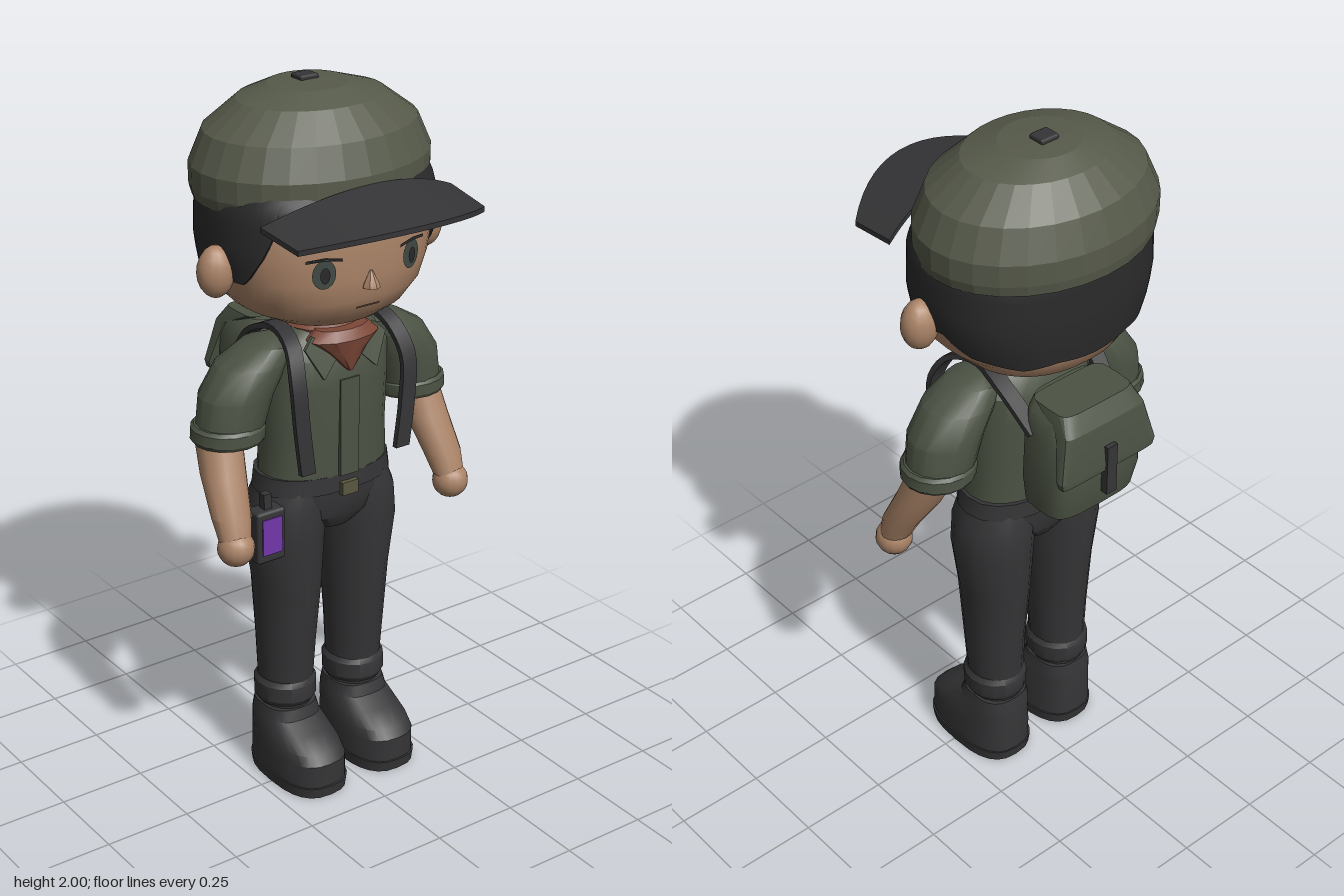
import * as THREE from 'three';
import { toCreasedNormals } from 'three/addons/utils/BufferGeometryUtils.js';
import { RoundedBoxGeometry } from 'three/addons/geometries/RoundedBoxGeometry.js';

const mat = (name, color) => {
  const m = new THREE.MeshStandardMaterial({ color });
  m.name = name;
  return m;
};

// Superellipse point at angle a (0 = front, towards +x)
const pow = (v, p) => Math.sign(v) * Math.pow(Math.abs(v), 2 / p);

// Closed body through horizontal rings [y, rx, rz, cx, cz], listed bottom to top
function loft(rings, n = 20, p = 2, crease = 0.5) {
  const pos = [], idx = [], last = (rings.length - 1) * n;
  for (const [y, rx, rz, cx = 0, cz = 0] of rings)
    for (let i = 0; i < n; i++) {
      const a = (i / n) * Math.PI * 2;
      pos.push(cx + rx * pow(Math.sin(a), p), y, cz + rz * pow(Math.cos(a), p));
    }
  for (const [y, , , cx = 0, cz = 0] of [rings[0], rings[rings.length - 1]]) pos.push(cx, y, cz);
  const c0 = rings.length * n, c1 = c0 + 1;
  for (let i = 0; i < n; i++) {
    const j = (i + 1) % n;
    for (let b = 0; b < last; b += n) idx.push(b + i, b + j, b + n + j, b + i, b + n + j, b + n + i);
    idx.push(c0, j, i, c1, last + i, last + j);
  }
  const g = new THREE.BufferGeometry();
  g.setAttribute('position', new THREE.Float32BufferAttribute(pos, 3));
  g.setIndex(idx);
  return toCreasedNormals(g, crease);
}

// Moves every vertex of a geometry by a rule
function warp(g, rule) {
  const p = g.attributes.position, v = new THREE.Vector3();
  for (let i = 0; i < p.count; i++) {
    rule(v.fromBufferAttribute(p, i));
    p.setXYZ(i, v.x, v.y, v.z);
  }
  return toCreasedNormals(g, 0.5);
}

// Piecewise linear lookup in rows sorted by their first entry
function lookup(rows, t, k) {
  let i = 1;
  while (i < rows.length - 1 && rows[i][0] < t) i++;
  const a = rows[i - 1], b = rows[i];
  return THREE.MathUtils.mapLinear(THREE.MathUtils.clamp(t, a[0], b[0]), a[0], b[0], a[k], b[k]);
}

const HEAD_P = 2.35, HEAD_Z = -0.08;
const HEAD = [[1.375, 0.1, 0.13], [1.39, 0.165, 0.18], [1.42, 0.225, 0.215], [1.47, 0.275, 0.238],
  [1.53, 0.3, 0.245], [1.6, 0.314, 0.246], [1.72, 0.312, 0.24], [1.8, 0.28, 0.21]];
const faceZ = (x, y) => HEAD_Z + lookup(HEAD, y, 2) *
  Math.pow(Math.max(0, 1 - Math.pow(Math.abs(x) / lookup(HEAD, y, 1), HEAD_P)), 1 / HEAD_P);

// Thin face detail laid on the curved head
function decal(points, lift = 0.005) {
  const g = new THREE.ShapeGeometry(new THREE.Shape(points.map(([x, y]) => new THREE.Vector2(x, y))));
  return warp(g, v => { v.z = faceZ(v.x, v.y) + lift; });
}
const oval = (cx, cy, rx, ry) => Array.from({ length: 16 }, (_, i) =>
  [cx + rx * Math.cos(i * Math.PI / 8), cy + ry * Math.sin(i * Math.PI / 8)]);

// Hair shell with a lower edge that follows the hairline around the head
function hairGeometry() {
  const line = [[0, 1.73], [0.75, 1.73], [0.92, 1.62], [1.2, 1.53], [1.45, 1.53], [1.65, 1.55],
    [1.9, 1.5], [2.15, 1.49], [2.45, 1.47], [2.8, 1.48], [3.142, 1.465]];
  const n = 72, rows = 8, pos = [], idx = [];
  for (let r = 0; r <= rows; r++)
    for (let i = 0; i < n; i++) {
      const a = (i / n) * Math.PI * 2;
      const y0 = lookup(line, Math.min(a, Math.PI * 2 - a), 1);
      const y = y0 + (1.76 - y0) * Math.max(0, r - 1) / (rows - 1);
      const s = r ? 1.04 : 0.93;
      pos.push(s * lookup(HEAD, y, 1) * pow(Math.sin(a), HEAD_P), y,
        HEAD_Z + s * lookup(HEAD, y, 2) * pow(Math.cos(a), HEAD_P));
    }
  for (let b = 0; b < rows * n; b += n)
    for (let i = 0; i < n; i++) {
      const j = (i + 1) % n;
      idx.push(b + i, b + j, b + n + j, b + i, b + n + j, b + n + i);
    }
  const g = new THREE.BufferGeometry();
  g.setAttribute('position', new THREE.Float32BufferAttribute(pos, 3));
  g.setIndex(idx);
  return toCreasedNormals(g, 0.6);
}

// Flat band that follows a curve
function band(points, width, thick) {
  const curve = new THREE.CatmullRomCurve3(points.map(p => new THREE.Vector3(...p)));
  return warp(new THREE.BoxGeometry(width, 1, thick, 1, 24, 1), v => {
    const t = THREE.MathUtils.clamp(v.y + 0.5, 0, 1), c = curve.getPointAt(t), d = curve.getTangentAt(t);
    const l = Math.hypot(d.y, d.z);
    v.set(c.x + v.x, c.y - v.z * d.z / l, c.z + v.z * d.y / l);
  });
}

export function createModel() {
  const model = new THREE.Group();
  const capGreen = mat('cap green', 0x565a4a), shirtGreen = mat('shirt green', 0x4c5344);
  const dark = mat('charcoal cloth', 0x353537), hairDark = mat('black hair', 0x2a2a2b);
  const skin = mat('skin', 0xab8468), lip = mat('mouth brown', 0x6b4c3c);
  const rust = mat('rust scarf', 0x7c4737), purple = mat('purple screen', 0x7036a8);
  const brass = mat('dull brass', 0x5a5840), eyeGrey = mat('eye grey', 0x424b46);

  const add = (name, geo, m, x = 0, y = 0, z = 0) => {
    const mesh = new THREE.Mesh(geo, m);
    mesh.name = name;
    mesh.position.set(x, y, z);
    model.add(mesh);
    return mesh;
  };
  const box = (w, h, d) => new THREE.BoxGeometry(w, h, d);

  // Head, hair and neck
  add('head', loft(HEAD.map(r => [...r, 0, HEAD_Z]), 40, HEAD_P, 0.8), skin);
  add('neck', loft([[1.33, 0.08, 0.075, 0, -0.06], [1.42, 0.08, 0.075, 0, -0.06]]), skin);
  add('hair', hairGeometry(), hairDark);
  add('nose', loft([[1.505, 0.024, 0.026, 0, 0.166], [1.515, 0.022, 0.024, 0, 0.166],
    [1.55, 0.004, 0.004, 0, 0.166]], 8), skin);
  add('mouth', decal([[-0.037, 1.448], [0.037, 1.448], [0.037, 1.454], [-0.037, 1.454]]), lip);
  add('cheekMark', decal([[0.197, 1.46], [0.245, 1.47], [0.252, 1.496], [0.2, 1.486]], 0.008), eyeGrey);

  // Cap
  add('capCrown', loft([[1.71, 0.328, 0.26, 0, -0.1], [1.74, 0.337, 0.265, 0, -0.1],
    [1.8, 0.338, 0.265, 0, -0.1], [1.885, 0.3, 0.235, 0, -0.1], [1.955, 0.205, 0.165, 0, -0.1],
    [1.983, 0.11, 0.1, 0, -0.11], [1.99, 0.01, 0.01, 0, -0.125]], 28, 2, 0.1), capGreen);
  add('capButton', new RoundedBoxGeometry(0.056, 0.02, 0.05, 1, 0.006), dark, 0, 1.99, -0.125);
  add('capBrim', warp(new THREE.BoxGeometry(2, 0.014, 1, 16, 1, 3), v => {
    const u = v.x, t = v.z + 0.5, q = u * u;
    v.set(0.3 * u * (1 - 0.03 * t),
      v.y + THREE.MathUtils.lerp(1.772 - 0.07 * q, 1.732 - 0.05 * q, t),
      THREE.MathUtils.lerp(0.165 - 0.055 * q, 0.4 - 0.14 * q, t));
  }), dark);

  // Shirt and scarf
  const cz = -0.055;
  add('shirt', loft([[0.92, 0.19, 0.122, 0, cz], [1.05, 0.185, 0.125, 0, cz], [1.2, 0.19, 0.13, 0, cz],
    [1.28, 0.19, 0.125, 0, cz], [1.33, 0.155, 0.1, 0, cz], [1.365, 0.09, 0.08, 0, cz]], 24, 2.3), shirtGreen);
  add('shirtPlacket', box(0.06, 0.28, 0.012), shirtGreen, 0, 1.08, 0.072);
  add('scarfBand', loft([[1.33, 0.105, 0.1, 0, -0.05], [1.355, 0.11, 0.105, 0, -0.05],
    [1.372, 0.09, 0.085, 0, -0.05]]), rust);
  add('scarfPoint', loft([[1.245, 0.008, 0.01, 0, 0.075], [1.3, 0.065, 0.045, 0, 0.05],
    [1.335, 0.112, 0.06, 0, 0.04], [1.36, 0.08, 0.045, 0, 0.035]], 12), rust);

  // Trousers and belt
  add('trouserSeat', loft([[0.765, 0.07, 0.09, 0, -0.06], [0.81, 0.16, 0.118, 0, -0.06],
    [0.87, 0.205, 0.125, 0, -0.06], [0.93, 0.198, 0.125, 0, -0.06]], 20, 2.3), dark);
  add('belt', loft([[0.89, 0.207, 0.13, 0, -0.06], [0.94, 0.2, 0.128, 0, -0.06]], 20, 2.3), dark);
  add('beltBuckle', box(0.052, 0.038, 0.016), brass, 0, 0.9, 0.074);
  add('beltTab', box(0.04, 0.04, 0.016), dark, 0, 0.9, -0.193);

  // Mirrored parts
  for (const s of [1, -1]) {
    const side = s > 0 ? 'left' : 'right';
    const limb = (name, rings, m, p = 2, n = 16) =>
      add(side + name, loft(rings.map(([y, rx, rz, x, z]) => [y, rx, rz, x * s, z]), n, p), m);
    const mark = (name, pts, m, lift) => add(side + name, decal(pts.map(([x, y]) => [x * s, y]), lift), m);

    mark('Eye', oval(0.137, 1.562, 0.031, 0.04), eyeGrey);
    mark('Pupil', oval(0.137, 1.56, 0.013, 0.022), hairDark, 0.009);
    mark('Eyelid', [[0.09, 1.593], [0.137, 1.6], [0.186, 1.596], [0.186, 1.604], [0.137, 1.609], [0.092, 1.601]], hairDark, 0.009);
    mark('Brow', [[0.085, 1.64], [0.137, 1.645], [0.183, 1.645], [0.186, 1.662], [0.137, 1.662], [0.086, 1.656]], hairDark, 0.008);
    add(side + 'Ear', new THREE.SphereGeometry(1, 14, 10), skin, s * 0.334, 1.555, -0.045).scale.set(0.052, 0.07, 0.046);

    limb('Sleeve', [[1.09, 0.092, 0.09, 0.297, -0.06], [1.2, 0.103, 0.098, 0.272, -0.06],
      [1.28, 0.102, 0.092, 0.222, -0.058], [1.325, 0.075, 0.07, 0.175, -0.055], [1.34, 0.03, 0.03, 0.16, -0.055]], shirtGreen);
    limb('SleeveCuff', [[1.075, 0.097, 0.093, 0.299, -0.06], [1.085, 0.103, 0.099, 0.299, -0.06],
      [1.115, 0.103, 0.099, 0.297, -0.06], [1.125, 0.096, 0.092, 0.295, -0.06]], shirtGreen);
    limb('Forearm', [[0.84, 0.045, 0.043, 0.357, 0.055], [0.9, 0.055, 0.052, 0.352, 0.03],
      [1.0, 0.062, 0.062, 0.338, -0.027], [1.1, 0.064, 0.066, 0.325, -0.07]], skin);
    add(side + 'Hand', new THREE.SphereGeometry(0.051, 14, 10), skin, s * 0.359, 0.817, 0.062);

    limb('TrouserLeg', [[0.2, 0.072, 0.078, 0.117, -0.072], [0.3, 0.077, 0.085, 0.117, -0.07],
      [0.42, 0.082, 0.094, 0.117, -0.067], [0.6, 0.092, 0.112, 0.115, -0.065],
      [0.75, 0.109, 0.121, 0.121, -0.065], [0.84, 0.108, 0.122, 0.113, -0.063], [0.9, 0.09, 0.11, 0.105, -0.06]], dark);
    limb('TrouserCuff', [[0.225, 0.08, 0.084, 0.118, -0.071], [0.24, 0.088, 0.092, 0.118, -0.07],
      [0.285, 0.088, 0.092, 0.118, -0.07], [0.3, 0.078, 0.084, 0.118, -0.07]], dark);
    limb('Boot', [[0.02, 0.097, 0.16, 0.118, -0.006], [0.1, 0.097, 0.16, 0.118, -0.006],
      [0.125, 0.094, 0.148, 0.118, -0.016], [0.155, 0.09, 0.118, 0.118, -0.045],
      [0.182, 0.085, 0.092, 0.118, -0.068], [0.215, 0.078, 0.084, 0.118, -0.071]], dark, 2.7, 24);
    limb('BootSole', [[0, 0.098, 0.16, 0.118, -0.005], [0.032, 0.101, 0.165, 0.118, -0.005]], dark, 2.7, 24);

    add(side + 'PackStrap', band([[s * 0.155, 0.99, 0.1], [s * 0.172, 1.13, 0.1], [s * 0.178, 1.25, 0.092],
      [s * 0.16, 1.335, 0.04], [s * 0.145, 1.362, -0.05], [s * 0.148, 1.325, -0.15], [s * 0.13, 1.23, -0.25]], 0.045, 0.016), dark);
    // Shirt collar wing
    const wing = new THREE.Shape([[0.02, 1.3], [0.1, 1.35], [0.13, 1.32], [0.085, 1.235]]
      .map(([x, y]) => new THREE.Vector2(x * s, y)));
    add(side + 'Collar', warp(new THREE.ExtrudeGeometry(wing, { depth: 0.01, bevelEnabled: false }), v => {
      v.z += 0.072 - Math.max(0, v.y - 1.25) * 0.35;
    }), shirtGreen);
  }

  // Backpack
  add('backpack', loft([[0.98, 0.11, 0.06, 0, -0.27], [1.0, 0.142, 0.085, 0, -0.275], [1.08, 0.152, 0.096, 0, -0.282],
    [1.24, 0.146, 0.092, 0, -0.28], [1.29, 0.132, 0.08, 0, -0.27], [1.315, 0.11, 0.07, 0, -0.262]], 24, 4), shirtGreen);
  add('backpackFlap', loft([[1.135, 0.158, 0.016, 0, -0.376], [1.155, 0.163, 0.018, 0, -0.376],
    [1.275, 0.135, 0.03, 0, -0.348], [1.322, 0.12, 0.07, 0, -0.28]], 24, 6, 0.3), shirtGreen);
  add('backpackBuckle', box(0.034, 0.15, 0.022), dark, 0, 1.135, -0.389);

  // Handheld radio on the hip
  add('radioBody', new RoundedBoxGeometry(0.09, 0.15, 0.06, 1, 0.008), dark, -0.246, 0.817, 0.035);
  add('radioScreen', box(0.062, 0.105, 0.006), purple, -0.246, 0.82, 0.066);
  add('radioAntenna', box(0.024, 0.05, 0.024), dark, -0.246, 0.91, 0.035);
  return model;
}
